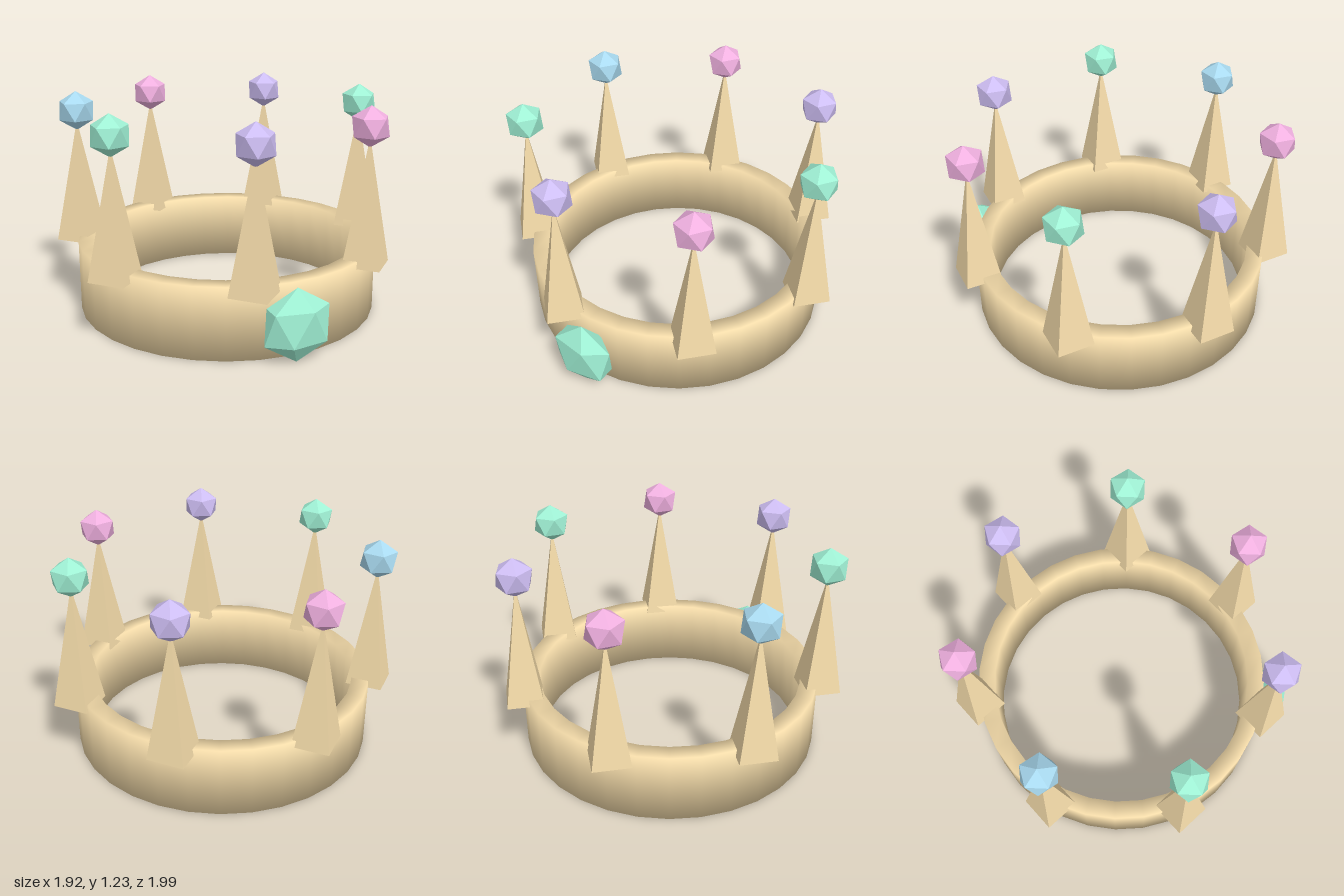
import * as THREE from 'three';

const CX = -0.043, CZ = -0.013;
const GOLD = 0xf5dcaa, MINT = 0x9ff0d4, PINK = 0xf0b0e0, PURPLE = 0xcdbdf2, BLUE = 0xa9daf0;

function addMesh(parent, name, geometry, color, flatShading) {
  const mesh = new THREE.Mesh(geometry, new THREE.MeshStandardMaterial({ color, flatShading }));
  mesh.name = name;
  parent.add(mesh);
  return mesh;
}

// Band: rectangular section with normals blended around its corners
function bandGeometry(inner, outer, height) {
  const profile = [[inner, 0], [outer, 0], [outer, height], [inner, height], [inner, 0]]
    .map(([r, y]) => new THREE.Vector2(r, y));
  const geometry = new THREE.LatheGeometry(profile, 32);
  const { position, normal } = geometry.attributes;
  const n = new THREE.Vector3();
  for (let i = 0; i < position.count; i++) {
    const x = position.getX(i), y = position.getY(i), z = position.getZ(i);
    const r = Math.hypot(x, z);
    const side = r > (inner + outer) / 2 ? 1 : -1;
    n.set(side * x / r, y > height / 2 ? 1 : -1, side * z / r).normalize();
    normal.setXYZ(i, n.x, n.y, n.z);
  }
  return geometry;
}

// Twenty-sided gem standing on a corner
function gemGeometry(radius) {
  const goldenRatio = (1 + Math.sqrt(5)) / 2;
  return new THREE.IcosahedronGeometry(radius, 0).rotateZ(-Math.atan(1 / goldenRatio));
}

export function createModel() {
  const crown = new THREE.Group();
  crown.name = 'crown';

  addMesh(crown, 'band', bandGeometry(0.76, 0.857, 0.4), GOLD, false).position.set(CX, 0, CZ);

  // Seven four-sided spikes, each tipped with a gem
  const spikeGeometry = new THREE.ConeGeometry(0.146, 0.7, 4);
  const tipGeometry = gemGeometry(0.111);
  const tipColors = [MINT, PINK, PURPLE, MINT, BLUE, PINK, PURPLE];
  tipColors.forEach((color, i) => {
    const angle = (i / tipColors.length) * Math.PI * 2;
    const point = new THREE.Group();
    point.name = 'crownPoint';
    point.position.set(CX + 0.857 * Math.cos(angle), 0, CZ + 0.857 * Math.sin(angle));
    addMesh(point, 'spike', spikeGeometry, GOLD, true).position.y = 0.71;
    addMesh(point, 'tipGem', tipGeometry, color, true).position.y = 1.115;
    crown.add(point);
  });

  // Large flattened gem at the front
  const frontGem = addMesh(crown, 'frontGem', gemGeometry(0.2).scale(1, 1, 0.5), MINT, true);
  frontGem.position.set(CX, 0.2, 0.915);

  return crown;
}
